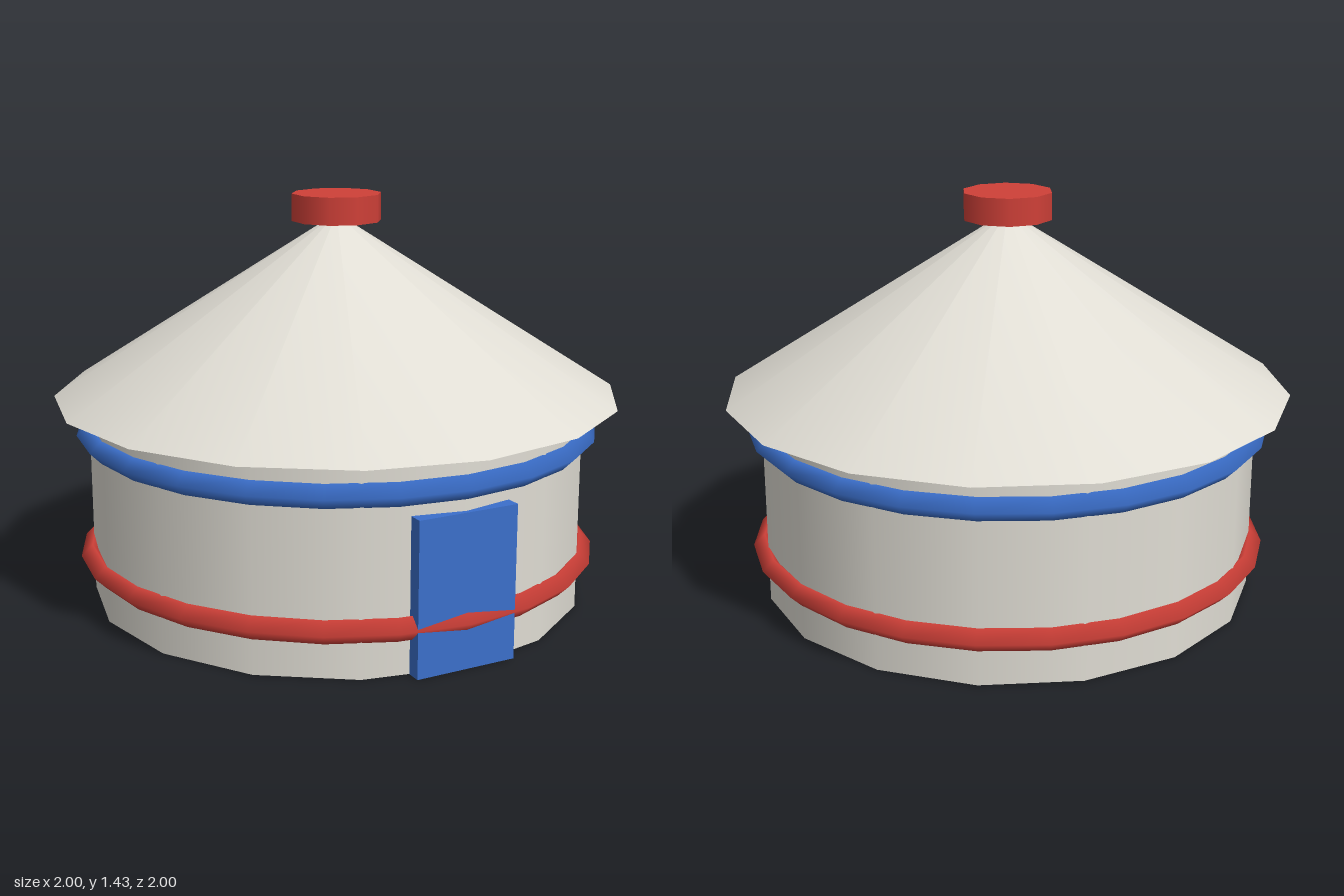
import * as THREE from 'three';

export function createModel() {
  const material = (name, color) => {
    const m = new THREE.MeshStandardMaterial({ color });
    m.name = name;
    return m;
  };
  const felt = material('felt white', 0xe0ddd4);
  const red = material('trim red', 0xcf4038);
  const blue = material('trim blue', 0x3b6fcb);

  const model = new THREE.Group();
  model.name = 'roundTent';
  const add = (name, geometry, mat, y, z = 0) => {
    const mesh = new THREE.Mesh(geometry, mat);
    mesh.name = name;
    mesh.position.set(0, y, z);
    model.add(mesh);
    return mesh;
  };

  // Round wall and overhanging conical roof
  const wallHeight = 0.72;
  const roofHeight = 0.635;
  add('wall', new THREE.CylinderGeometry(0.88, 0.88, wallHeight, 16), felt, wallHeight / 2);
  add('roof', new THREE.ConeGeometry(1, roofHeight, 16), felt, wallHeight + roofHeight / 2);

  // Crown cap on the roof peak
  add('crownCap', new THREE.CylinderGeometry(0.158, 0.158, 0.095, 10), red, 1.378);

  // Bands tied around the wall
  const bandGeometry = new THREE.TorusGeometry(0.885, 0.04, 4, 24).rotateX(Math.PI / 2);
  add('lowerBand', bandGeometry, red, 0.163);
  add('upperBand', bandGeometry, blue, 0.605);

  // Door slab at the front
  add('door', new THREE.BoxGeometry(0.36, 0.525, 0.05), blue, 0.2625, 0.871);

  return model;
}
